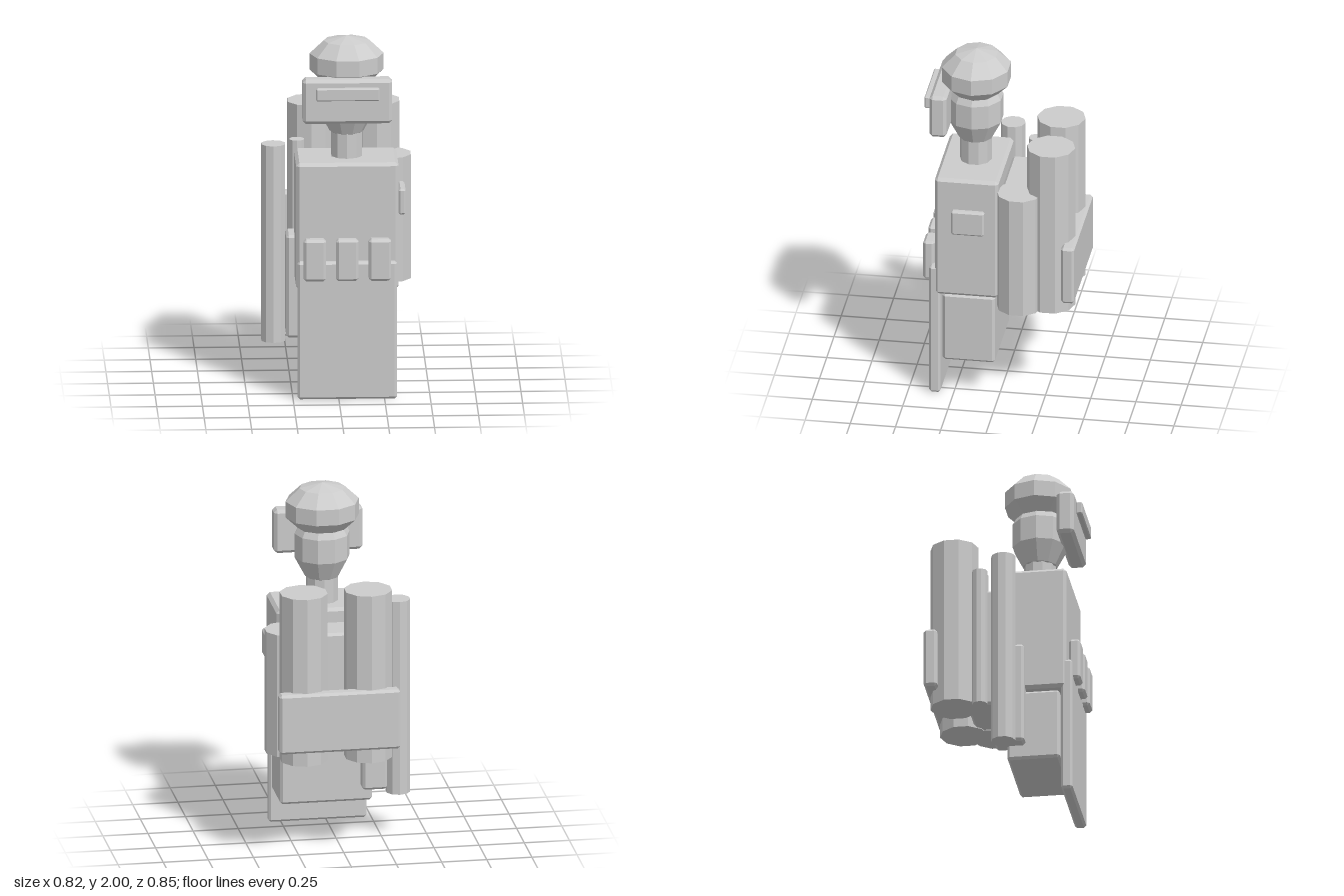
import * as THREE from 'three';
import { ConvexGeometry } from 'three/addons/geometries/ConvexGeometry.js';

const material = new THREE.MeshStandardMaterial({ color: 0xcccccc, flatShading: true });

export function createModel() {
  const model = new THREE.Group();
  model.name = 'equippedFigure';

  function add(name, geometry, x, y, z) {
    const mesh = new THREE.Mesh(geometry, material);
    mesh.name = name;
    mesh.position.set(x, y, z);
    model.add(mesh);
    return mesh;
  }

  // Box with chamfered edges, given by its ranges along each axis
  function block(name, [x0, x1], [y0, y1], [z0, z1], bevel = 0.014) {
    const half = [(x1 - x0) / 2, (y1 - y0) / 2, (z1 - z0) / 2];
    const points = [];
    for (const sx of [-1, 1]) for (const sy of [-1, 1]) for (const sz of [-1, 1]) {
      const signs = [sx, sy, sz];
      for (let face = 0; face < 3; face++) {
        points.push(new THREE.Vector3(...signs.map((s, i) => s * (half[i] - (i === face ? 0 : bevel)))));
      }
    }
    return add(name, new ConvexGeometry(points), (x0 + x1) / 2, (y0 + y1) / 2, (z0 + z1) / 2);
  }

  // Upright ten-sided cylinder
  function column(name, x, z, radius, y0, y1) {
    return add(name, new THREE.CylinderGeometry(radius, radius, y1 - y0, 10), x, (y0 + y1) / 2, z);
  }

  // Low-poly ellipsoid
  function ball(name, x, y, z, rx, ry, rz) {
    const geometry = new THREE.SphereGeometry(1, 10, 5).scale(rx, ry, rz);
    return add(name, geometry, x, y, z);
  }

  // Body
  block('torso', [-0.232, 0.328], [0.61, 1.325], [0, 0.353], 0.018);
  block('hips', [-0.205, 0.305], [0.2, 0.605], [0.022, 0.312]);
  block('apron', [-0.225, 0.318], [0, 0.775], [0.322, 0.385], 0.013);
  block('shoulderPatch', [0.332, 0.37], [1.005, 1.15], [0.073, 0.256], 0.01);

  // Belt pouches
  for (const x of [-0.132, 0.045, 0.224]) {
    block('pouch', [x - 0.061, x + 0.061], [0.675, 0.91], [0.36, 0.423]);
  }

  // Neck, head and helmet
  column('neck', 0.05, 0.167, 0.088, 1.31, 1.5);
  ball('head', 0.05, 1.643, 0.167, 0.16, 0.22, 0.16);
  ball('helmet', 0.05, 1.854, 0.163, 0.2135, 0.146, 0.2);

  // Face mask with visor strip
  block('mask', [-0.198, 0.292], [1.555, 1.805], [0.293, 0.388], 0.018);
  block('visor', [-0.125, 0.221], [1.695, 1.765], [0.392, 0.425], 0.006);

  // Backpack, twin tanks and the plate behind them
  block('backpack', [-0.155, 0.255], [0.565, 1.25], [-0.209, -0.004]);
  for (const x of [-0.13, 0.227]) column('tank', x, -0.278, 0.133, 0.56, 1.52);
  block('backPlate', [-0.286, 0.384], [0.64, 0.98], [-0.428, -0.354]);

  // Side gear
  column('sideCanister', 0.291, -0.112, 0.125, 0.56, 1.26);
  column('thinPipe', -0.212, -0.127, 0.042, 0.54, 1.34);
  column('longTube', -0.346, 0.023, 0.068, 0.245, 1.355);
  block('holster', [-0.278, -0.14], [0.28, 0.86], [-0.044, 0.125]);

  return model;
}
